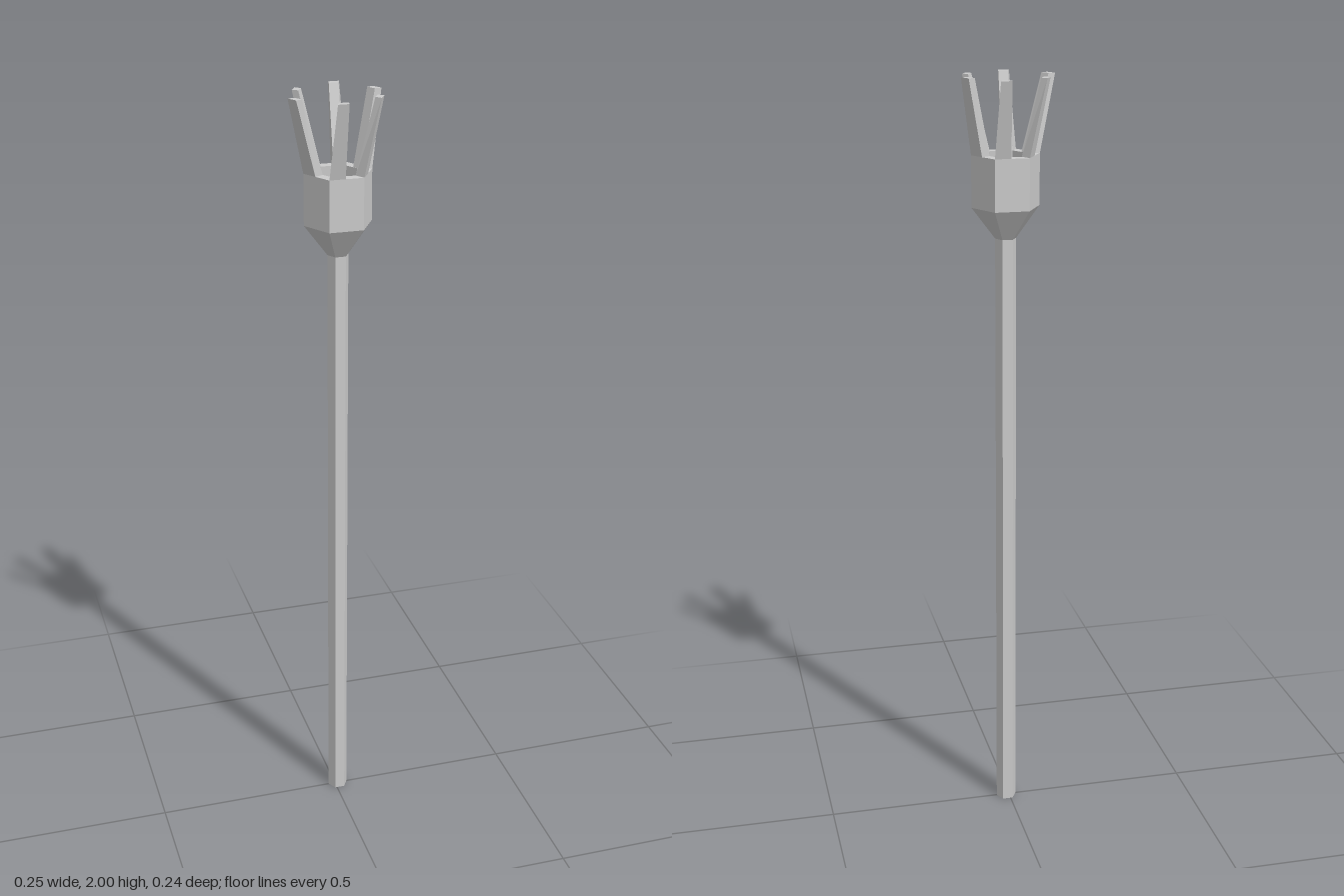
import * as THREE from 'three';

const material = new THREE.MeshStandardMaterial({ color: 0xcccccc, flatShading: true });
const RIM_Y = 1.81, TOP_Y = 2;

// Slanted prong: a box whose corners are moved onto the rim (bottom) and the tip (top).
// Local z points outward, local -x runs along the rim towards the cup's corner.
function prongGeometry(tipRadius, tipOffset) {
  const geometry = new THREE.BoxGeometry(1, 1, 1);
  const p = geometry.attributes.position;
  for (let i = 0; i < p.count; i++) {
    const far = p.getX(i) < 0, top = p.getY(i) > 0, outer = p.getZ(i) > 0;
    let along, radius;
    if (top) {
      radius = outer ? tipRadius : tipRadius - 0.017;
      along = tipOffset + (far ? (outer ? 0.028 : 0.022) : (outer ? 0 : -0.003));
    } else {
      radius = outer ? 0.0755 : 0.0505;
      along = far ? (outer ? 0.0435 : 0.029) : 0.003;
    }
    p.setXYZ(i, -along, top ? TOP_Y : RIM_Y, radius);
  }
  geometry.computeVertexNormals();
  return geometry;
}

export function createModel() {
  const model = new THREE.Group();
  model.name = 'torch';
  const body = new THREE.Group();
  body.name = 'body';
  body.position.set(0.008, 0, -0.001);
  model.add(body);

  const add = (name, geometry) => {
    const mesh = new THREE.Mesh(geometry, material);
    mesh.name = name;
    body.add(mesh);
    return mesh;
  };

  // Six-sided shaft, corners on the x axis
  const shaft = add('shaft', new THREE.CylinderGeometry(0.027, 0.027, 1.6, 6, 1, false, Math.PI / 6));
  shaft.position.y = 0.8;

  // Six-sided cup: flared underside, straight wall, flat rim and recessed floor
  const profile = [
    [0, 1.6], [0.027, 1.6], [0.087, 1.68], [0.087, RIM_Y],
    [0.058, RIM_Y], [0.058, 1.72], [0, 1.72],
  ].map(([x, y]) => new THREE.Vector2(x, y));
  add('cup', new THREE.LatheGeometry(profile, 6, Math.PI / 6));

  // One prong per side, each leaning a little differently: [tip radius, tip offset]
  const prongs = [
    [0.122, 0.008], [0.113, 0.003], [0.109, 0.012],
    [0.121, 0.010], [0.114, 0.001], [0.128, 0.013],
  ];
  prongs.forEach(([radius, offset], i) => {
    add(`prong${i + 1}`, prongGeometry(radius, offset)).rotation.y = (i * Math.PI) / 3;
  });

  return model;
}
